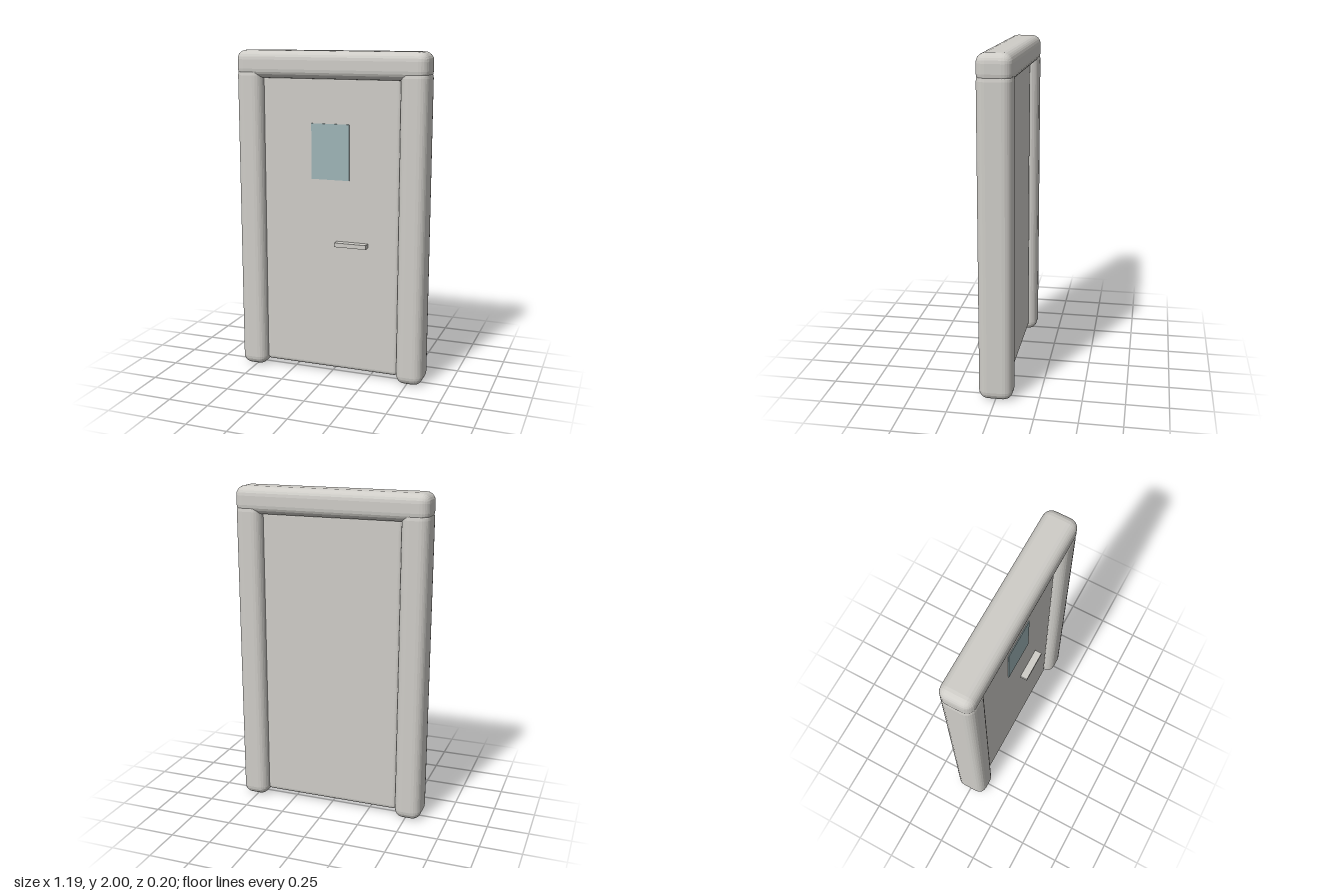
import * as THREE from 'three';
import { RoundedBoxGeometry } from 'three/addons/geometries/RoundedBoxGeometry.js';

export function createModel() {
  const model = new THREE.Group();
  model.name = 'door';

  const stone = new THREE.MeshStandardMaterial({ color: 0xcfcdc8, flatShading: true });
  stone.name = 'warm grey';
  const glass = new THREE.MeshStandardMaterial({ color: 0x9fb5b8, flatShading: true });
  glass.name = 'pale blue glass';

  // Places a geometry as a named part
  function add(name, geometry, material, x, y, z = 0) {
    const mesh = new THREE.Mesh(geometry, material);
    mesh.name = name;
    mesh.position.set(x, y, z);
    model.add(mesh);
    return mesh;
  }

  const frameWidth = 0.165, frameDepth = 0.2, frameRadius = 0.055;

  // Frame: two posts under a lintel, all with softly rounded edges
  const postHeight = 1.905;
  for (const side of [-1, 1]) {
    add(side > 0 ? 'leftPost' : 'rightPost',
      new RoundedBoxGeometry(frameWidth, postHeight, frameDepth, 3, frameRadius),
      stone, side * 0.5125, postHeight / 2);
  }
  add('lintel', new RoundedBoxGeometry(1.19, frameWidth, frameDepth, 3, frameRadius),
    stone, 0, 2 - frameWidth / 2);

  // Door leaf, recessed on both faces
  add('doorPanel', new RoundedBoxGeometry(0.87, 1.82, 0.1, 3, 0.025), stone, 0, 0.945);

  // Window pane on the front only
  add('windowPane', new THREE.BoxGeometry(0.24, 0.336, 0.009), glass, 0, 1.405, 0.0505);

  // Handle bar on the front
  add('handle', new THREE.BoxGeometry(0.2, 0.026, 0.05), stone, 0.14, 0.847, 0.07);

  return model;
}
